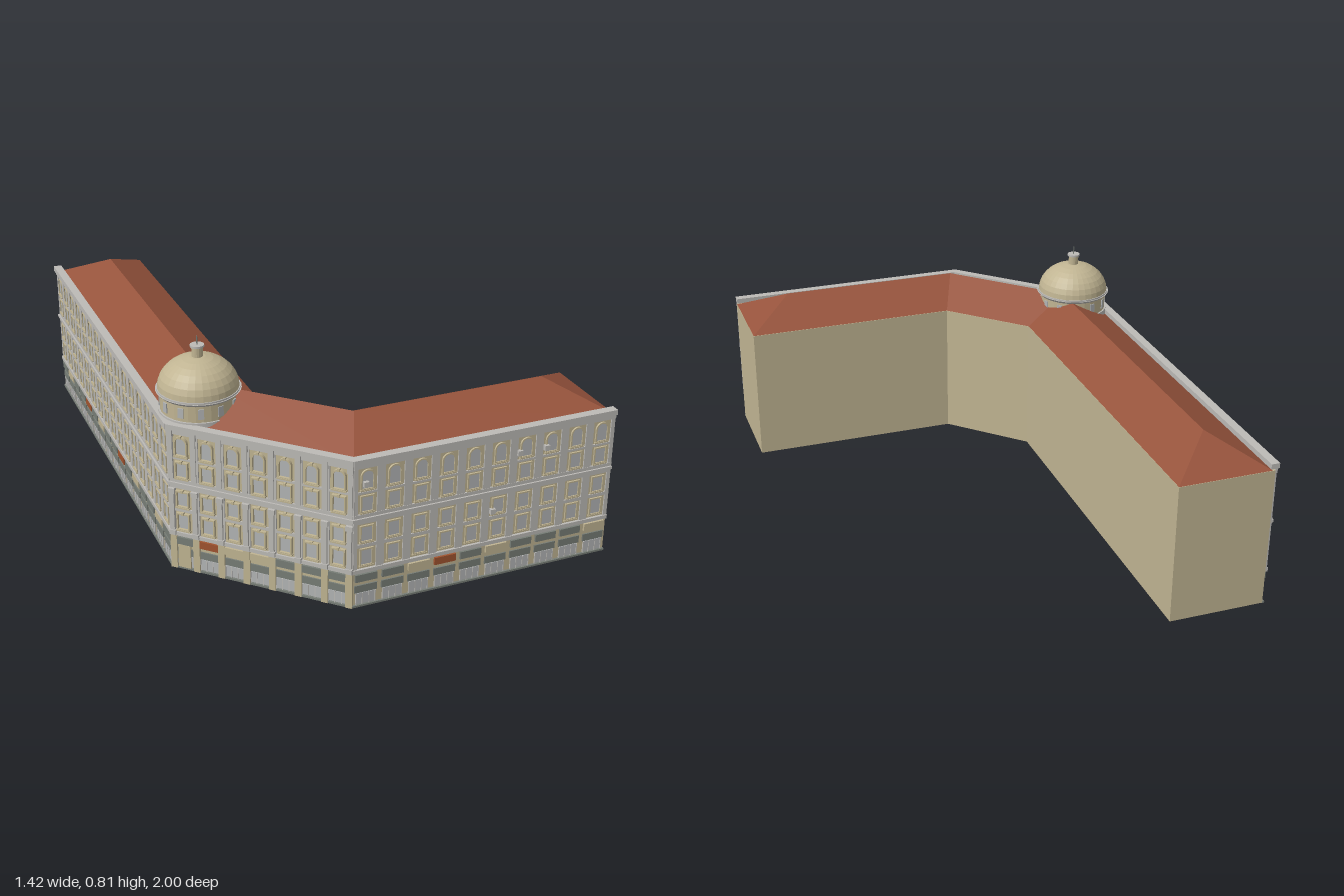
import * as THREE from 'three';
import { mergeGeometries } from 'three/addons/utils/BufferGeometryUtils.js';

const paint = (name, color, flat = false) => {
  const m = new THREE.MeshStandardMaterial({ color, flatShading: flat });
  m.name = name;
  return m;
};

export function createModel() {
  const stone = paint('sandstone', 0xc0b492);
  const domeStone = paint('domeSandstone', 0xc0b492, true);
  const trim = paint('greyTrim', 0xbcbab6);
  const glass = paint('paleGlass', 0xb2b4b5);
  const slate = paint('slateGrey', 0x777d76);
  const tile = paint('redTile', 0x96533c, true);
  const red = paint('redSign', 0xa0532f);

  const model = new THREE.Group();
  model.name = 'cornerBuilding';
  const add = (parent, name, geo, mat) => {
    const mesh = new THREE.Mesh(geo, mat);
    mesh.name = name;
    parent.add(mesh);
    return mesh;
  };

  // Bent three-wing body
  const outline = [[-0.7, -1], [-0.7, 0.525], [-0.24, 0.985], [0.71, 0.985],
    [0.71, 0.63], [-0.09, 0.63], [-0.35, 0.37], [-0.35, -1]];
  const bodyShape = new THREE.Shape(outline.map(([x, z]) => new THREE.Vector2(x, -z)));
  const body = new THREE.ExtrudeGeometry(bodyShape, { depth: 0.52, bevelEnabled: false });
  body.rotateX(-Math.PI / 2).translate(0, 0.002, 0);
  add(model, 'walls', body, stone);

  // Hipped roof: outer eave, ridge and inner eave at each bend
  const outer = [[-0.69, -1], [-0.69, 0.52], [-0.235, 0.975], [0.71, 0.975]];
  const ridge = [[-0.52, -0.82], [-0.52, 0.44], [-0.16, 0.8], [0.53, 0.8]];
  const inner = [[-0.35, -1], [-0.35, 0.37], [-0.09, 0.63], [0.71, 0.63]];
  const pos = [];
  const tri = (...pts) => pts.forEach(([p, y]) => pos.push(p[0], y, p[1]));
  const E = 0.523, R = 0.615;
  for (let i = 0; i < 3; i++) {
    const o = [outer[i], E], o2 = [outer[i + 1], E], r = [ridge[i], R];
    const r2 = [ridge[i + 1], R], n = [inner[i], E], n2 = [inner[i + 1], E];
    tri(o, o2, r); tri(o2, r2, r);
    tri(r, r2, n); tri(r2, n2, n);
  }
  tri([outer[0], E], [ridge[0], R], [inner[0], E]);
  tri([outer[3], E], [inner[3], E], [ridge[3], R]);
  const roof = new THREE.BufferGeometry();
  roof.setAttribute('position', new THREE.Float32BufferAttribute(pos, 3));
  roof.computeVertexNormals();
  add(model, 'roof', roof, tile);

  // Facade helpers: u runs along the wall, z points outwards
  const box = (u0, u1, y0, y1, depth, back = 0) => new THREE.BoxGeometry(u1 - u0, y1 - y0, depth + back)
    .translate((u0 + u1) / 2, (y0 + y1) / 2, (depth - back) / 2).toNonIndexed();
  const windowPath = (P, u, y0, y1, w, arched) => {
    const p = new P(), h = w / 2;
    p.moveTo(u - h, y0);
    p.lineTo(u + h, y0);
    if (arched) p.absarc(u, y1 - h, h, 0, Math.PI, false);
    else { p.lineTo(u + h, y1); p.lineTo(u - h, y1); }
    p.closePath();
    return p;
  };
  const extrude = (shape, depth) => new THREE.ExtrudeGeometry(shape, { depth, bevelEnabled: false, curveSegments: 8 });

  // Window rows: sill, head, arched
  const rows = [[0.157, 0.212, false], [0.245, 0.297, false], [0.355, 0.407, false], [0.437, 0.5, true]];

  function facade(name, x, z, angle, length, bays, signs, extA, extB, ornate) {
    const g = new THREE.Group();
    g.name = name;
    g.position.set(x, 0, z);
    g.rotation.y = angle;
    model.add(g);
    const parts = { piers: [], courses: [], frames: [], panes: [], transoms: [], signs: [], redSigns: [], stoneSigns: [] };
    const step = length / bays, a = -extA, b = length + extB;

    // Floor bands, string courses and cornice
    for (const [y0, y1, d] of [[0.128, 0.142, 0.009], [0.222, 0.234, 0.005], [0.31, 0.322, 0.006],
      [0.322, 0.333, 0.012], [0.333, 0.345, 0.006], [0.418, 0.426, 0.005], [0.512, 0.528, 0.008]])
      parts.courses.push(box(a, b, y0, y1, d));
    parts.courses.push(box(a, b, 0.528, 0.547, 0.015, 0.016));
    parts.transoms.push(box(a, b, 0, 0.007, 0.008, ornate ? 0.05 : 0));

    for (let i = 0; i <= bays; i++) {
      const u = i * step;
      parts.piers.push(box(Math.max(a, u - 0.014), Math.min(b, u + 0.014), 0.13, 0.52, 0.005));
      // Pilasters with base and capital, and scrolled brackets under the cornice
      if (ornate) {
        const c = Math.min(Math.max(u, 0.008), length - 0.008);
        parts.piers.push(box(c - 0.008, c + 0.008, 0.14, 0.3, 0.013));
        parts.piers.push(box(c - 0.012, c + 0.012, 0.132, 0.15, 0.016));
        parts.piers.push(box(c - 0.012, c + 0.012, 0.292, 0.31, 0.016));
        parts.piers.push(box(c - 0.007, c + 0.007, 0.345, 0.5, 0.009));
        parts.piers.push(box(c - 0.01, c + 0.01, 0.5, 0.528, 0.014));
        parts.frames.push(box(c - 0.012, c + 0.012, 0, 0.128, 0.01));
      }
    }

    for (let i = 0; i < bays; i++) {
      const u = (i + 0.5) * step;
      for (const [y0, y1, arched] of rows) {
        const w = 0.038;
        const frame = windowPath(THREE.Shape, u, y0 - 0.005, y1 + 0.005, w + 0.01, arched);
        frame.holes.push(windowPath(THREE.Path, u, y0, y1, w, arched));
        parts.frames.push(extrude(frame, ornate ? 0.011 : 0.006));
        parts.frames.push(box(u - 0.026, u + 0.026, y0 - 0.008, y0 - 0.003, ornate ? 0.013 : 0.008));
        parts.panes.push(extrude(windowPath(THREE.Shape, u, y0, y1, w, arched), 0.002));
        if (ornate) parts.frames.push(box(u - 0.004, u + 0.004, y1, y1 + 0.01, 0.014));
      }
      // Shopfront: panes, glazing bars, transom and sign board
      parts.panes.push(box(u - 0.034, u + 0.034, 0.009, 0.05, 0.003));
      for (const k of [-0.034, -0.012, 0.012, 0.034])
        parts.piers.push(box(u + k - 0.0015, u + k + 0.0015, 0.007, 0.05, 0.005));
      parts.transoms.push(box(u - 0.04, u + 0.04, 0.053, 0.08, 0.005));
      const board = box(u - 0.039, u + 0.039, 0.095, 0.122, 0.008);
      ({ d: parts.signs, r: parts.redSigns, t: parts.stoneSigns })[signs[i]].push(board);
    }
    const mats = { piers: trim, courses: trim, frames: stone, panes: glass, transoms: slate, signs: slate, redSigns: red, stoneSigns: stone };
    for (const key in parts) if (parts[key].length) add(g, key, mergeGeometries(parts[key]), mats[key]);
    return g;
  }

  const front = facade('frontFacade', -0.24, 0.985, 0, 0.95, 10, 'ddtrdtdddt', 0.005, 0, false);
  const corner = facade('cornerFacade', -0.7, 0.525, -Math.PI / 4, 0.46 * Math.SQRT2, 7, 'drttddd', 0.005, 0.005, true);
  facade('rightFacade', -0.7, -1, -Math.PI / 2, 1.525, 16, 'dtddrdtddrdtddtd', 0, 0.005, false);

  // Small wall lamps and the entrance door
  const lamps = [[0.04, 0.455], [0.59, 0.455], [0.69, 0.455], [0.5, 0.255]];
  for (const [u, y] of lamps) add(front, 'wallLamp', box(u - 0.009, u + 0.009, y - 0.009, y + 0.009, 0.014), trim);
  add(corner, 'entranceDoor', box(0.024, 0.07, 0.007, 0.095, 0.009), stone);

  // Domed corner turret
  const turret = new THREE.Group();
  turret.name = 'turret';
  turret.position.set(-0.57, 0, 0.455);
  model.add(turret);
  const drum = (name, r0, r1, y0, y1, mat, seg = 32) =>
    add(turret, name, new THREE.CylinderGeometry(r1, r0, y1 - y0, seg).translate(0, (y0 + y1) / 2, 0), mat);
  drum('drum', 0.13, 0.13, 0.5, 0.615, domeStone);
  drum('drumBase', 0.136, 0.136, 0.523, 0.553, trim);
  drum('drumCornice', 0.134, 0.144, 0.612, 0.622, trim);
  drum('domeRing', 0.14, 0.14, 0.622, 0.628, trim);
  const dome = new THREE.SphereGeometry(0.137, 32, 8, 0, Math.PI * 2, 0, Math.PI / 2);
  add(turret, 'dome', dome.scale(1, 0.8, 1).translate(0, 0.626, 0), domeStone);
  drum('lantern', 0.019, 0.019, 0.73, 0.768, domeStone, 16);
  drum('lanternCap', 0.024, 0.024, 0.768, 0.775, trim, 16);
  drum('spike', 0.002, 0.002, 0.775, 0.805, slate, 6);
  for (let i = 0; i < 12; i++) {
    const pane = add(turret, 'drumWindow', new THREE.BoxGeometry(0.02, 0.035, 0.008), glass);
    const t = (i + 0.5) * Math.PI / 6;
    pane.position.set(Math.sin(t) * 0.129, 0.583, Math.cos(t) * 0.129);
    pane.rotation.y = t;
  }
  return model;
}
